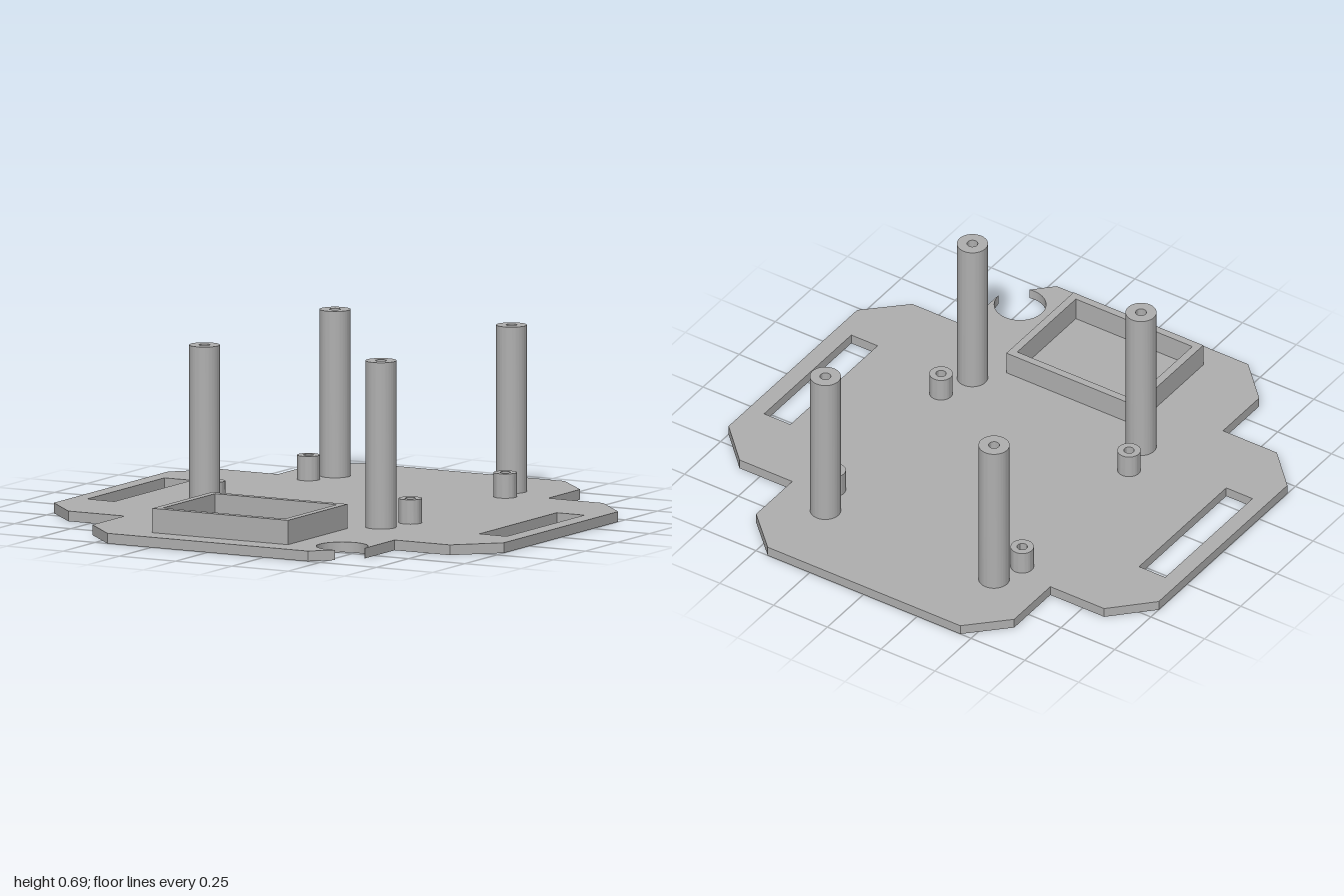
import * as THREE from 'three';
import { toCreasedNormals } from 'three/addons/utils/BufferGeometryUtils.js';

const PLATE = 0.04;

export function createModel() {
  const model = new THREE.Group();
  const grey = new THREE.MeshStandardMaterial({ color: 0xb0b0b0 });
  grey.name = 'grey plastic';

  // Extrudes an outline drawn in (x, z) upwards from y0 to y1
  function addSlab(name, shape, y0, y1, x = 0, z = 0) {
    const raw = new THREE.ExtrudeGeometry(shape, { depth: y1 - y0, bevelEnabled: false, curveSegments: 32 });
    raw.rotateX(Math.PI / 2);
    const mesh = new THREE.Mesh(toCreasedNormals(raw, 0.6), grey);
    mesh.name = name;
    mesh.position.set(x, y1, z);
    model.add(mesh);
  }

  function rect(Type, x0, x1, z0, z1) {
    return new Type([[x0, z0], [x1, z0], [x1, z1], [x0, z1]].map(([x, z]) => new THREE.Vector2(x, z)));
  }

  // Cross-shaped base with chamfered corners, a round notch and two side slots
  const base = new THREE.Shape();
  base.moveTo(0.6, 0.6);
  base.lineTo(0.6, 0.825);
  base.absarc(0.498, 0.825, 0.1, 0, 1.34, true);
  [
    [0.445, 1], [-0.445, 1], [-0.6, 0.845], [-0.6, 0.595],
    [-0.85, 0.595], [-1, 0.445], [-1, -0.445], [-0.85, -0.6],
    [-0.6, -0.6], [-0.6, -0.85], [-0.45, -1], [0.445, -1],
    [0.6, -0.85], [0.6, -0.6], [0.845, -0.6], [1, -0.445],
    [1, 0.445], [0.845, 0.595], [0.6, 0.595],
  ].forEach(([x, z]) => base.lineTo(x, z));
  base.holes.push(rect(THREE.Path, -0.935, -0.813, -0.303, 0.3));
  base.holes.push(rect(THREE.Path, 0.808, 0.93, -0.303, 0.3));
  addSlab('basePlate', base, 0, PLATE);

  // Hollow round posts and standoffs
  function addTube(name, radius, bore, top, x, z) {
    const ring = new THREE.Shape();
    ring.absarc(0, 0, radius, 0, Math.PI * 2, false);
    const hole = new THREE.Path();
    hole.absarc(0, 0, bore, 0, Math.PI * 2, true);
    ring.holes.push(hole);
    addSlab(name, ring, PLATE, top, x, z);
  }
  for (const [side, s] of [['left', 1], ['right', -1]]) {
    addTube(side + 'FrontPost', 0.06, 0.021, 0.69, s * 0.392, 0.337);
    addTube(side + 'BackPost', 0.06, 0.021, 0.69, s * 0.392, -0.68);
    addTube(side + 'FrontStandoff', 0.045, 0.02, 0.135, s * 0.437, 0.187);
    addTube(side + 'BackStandoff', 0.045, 0.02, 0.135, s * 0.437, -0.552);
  }

  // Open tray walls at the front
  const tray = rect(THREE.Shape, -0.303, 0.3, 0.435, 0.9);
  tray.holes.push(rect(THREE.Path, -0.272, 0.269, 0.465, 0.87));
  addSlab('trayWalls', tray, PLATE, 0.135);

  return model;
}
